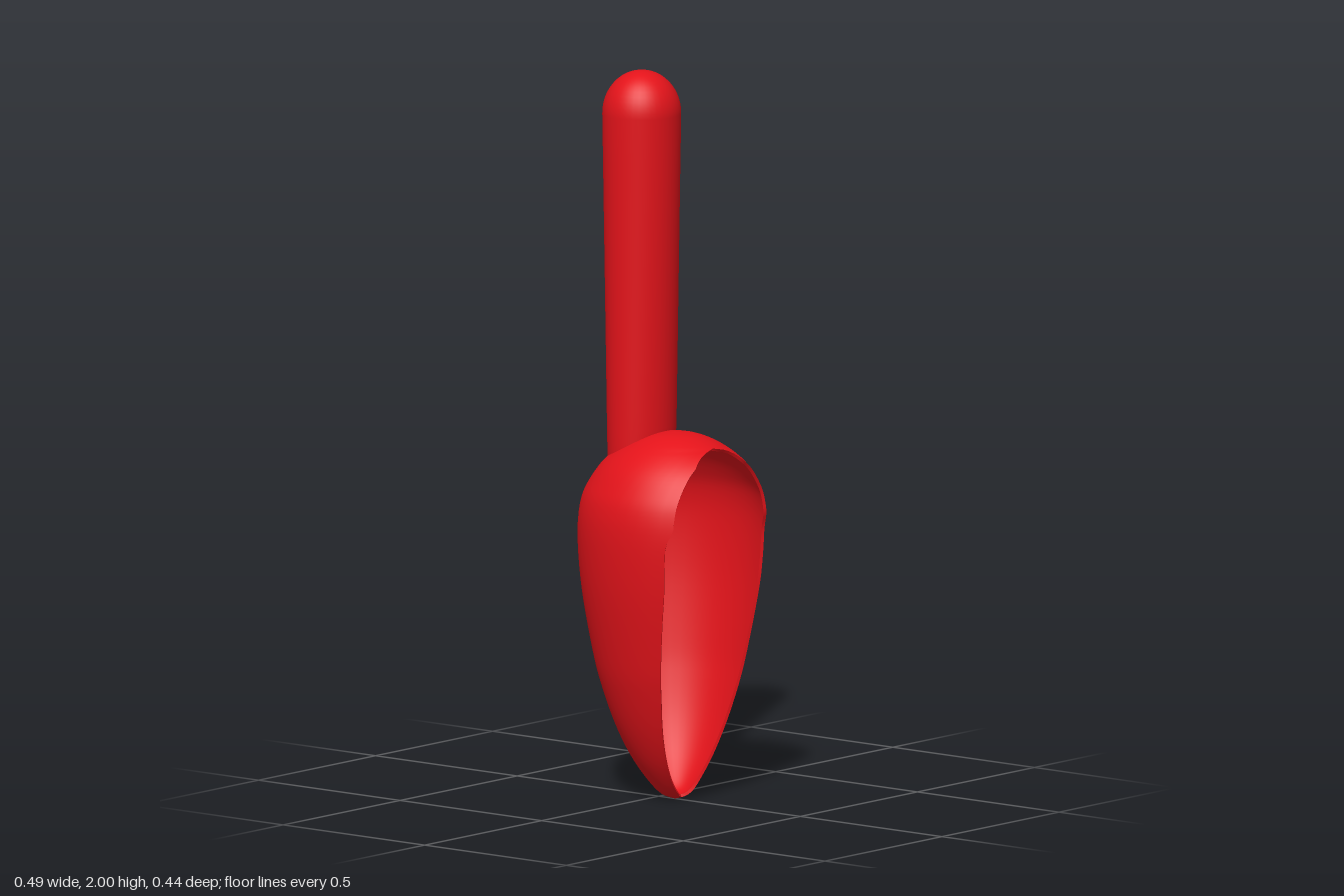
import * as THREE from 'three';
import { mergeVertices } from 'three/addons/utils/BufferGeometryUtils.js';

const RED = new THREE.MeshStandardMaterial({ color: 0xe3131a });
const AXIS_Z = 0.058, DEPTH = 1.14, WALL = 0.008, ROWS = 72, COLS = 32;

// Egg-shaped half profile of the scoop: radius, height
const profile = new THREE.SplineCurve([
  [0, 0], [0.035, 0.014], [0.068, 0.05], [0.11, 0.115], [0.149, 0.2], [0.182, 0.3], [0.206, 0.4],
  [0.235, 0.58], [0.245, 0.73], [0.237, 0.82], [0.213, 0.88], [0.175, 0.935],
  [0.12, 0.98], [0.06, 1.007], [0, 1.015],
].map(([r, y]) => new THREE.Vector2(r, y)));

// Front limit of the scoop at each height: height, z
const CUT = [[0, 0.08], [0.02, 0.094], [0.06, 0.1], [0.3, 0.145], [0.6, 0.19],
  [0.74, 0.198], [0.78, 0.216], [0.94, 0.214], [0.98, 0.195], [1.1, 0.19]];

function cutZ(y) {
  const i = CUT.findIndex((c) => y <= c[0] && c[0] > 0);
  const [y0, z0] = CUT[i - 1], [y1, z1] = CUT[i];
  return THREE.MathUtils.lerp(z0, z1, (y - y0) / (y1 - y0));
}

// Rows of points running round the back from one rim to the other
function shellRows(offset) {
  const rows = [];
  for (let i = 0; i <= ROWS; i++) {
    const p = profile.getPoint(i / ROWS), t = profile.getTangent(i / ROWS);
    const r = Math.max(0.0005, p.x - t.y * offset), y = p.y + t.x * offset;
    // Both skins share the opening angle, so their rims run side by side
    const k = (cutZ(p.y) - AXIS_Z) / (Math.max(0.0005, p.x) * DEPTH);
    const limit = Math.acos(-Math.min(1, k));
    const row = [];
    for (let j = 0; j <= COLS; j++) {
      const a = limit * (2 * j / COLS - 1);
      row.push([r * Math.sin(a), y, AXIS_Z - r * DEPTH * Math.cos(a)]);
    }
    rows.push(row);
  }
  return rows;
}

// Surface through rows of points; flip turns the faces over
function skin(rows, flip) {
  const n = rows[0].length, index = [];
  for (let i = 0; i < rows.length - 1; i++) {
    for (let j = 0; j < n - 1; j++) {
      const a = i * n + j, b = a + 1, c = a + n, d = c + 1;
      if (flip) index.push(a, b, c, b, d, c);
      else index.push(a, c, b, b, c, d);
    }
  }
  const g = new THREE.BufferGeometry();
  g.setAttribute('position', new THREE.Float32BufferAttribute(rows.flat(2), 3));
  g.setIndex(index);
  const merged = mergeVertices(g, 1e-5);
  merged.computeVertexNormals();
  return merged;
}

function buildScoop() {
  const scoop = new THREE.Group();
  scoop.name = 'scoop';
  const add = (name, geometry) => {
    const mesh = new THREE.Mesh(geometry, RED);
    mesh.name = name;
    scoop.add(mesh);
  };
  const outer = shellRows(0), inner = shellRows(WALL);
  add('scoopOutside', skin(outer, false));
  add('scoopInside', skin(inner, true));
  // Rim strips join the two skins along the opening
  add('rightRim', skin(outer.map((row, i) => [row[0], inner[i][0]]), true));
  add('leftRim', skin(outer.map((row, i) => [row[COLS], inner[i][COLS]]), false));
  return scoop;
}

function buildHandle() {
  // Straight grip with a rounded end
  const points = [];
  for (let i = 0; i <= 8; i++) {
    points.push(new THREE.Vector2(0.103 + 0.006 * i / 8, 0.9 + 0.98 * i / 8));
  }
  for (let i = 1; i <= 12; i++) {
    const a = i / 12 * Math.PI / 2;
    points.push(new THREE.Vector2(i === 12 ? 0 : 0.109 * Math.cos(a), 1.88 + 0.12 * Math.sin(a)));
  }
  let g = new THREE.LatheGeometry(points, 40);
  g.deleteAttribute('uv');
  g.deleteAttribute('normal');
  g = mergeVertices(g, 1e-5);
  // Flatten towards the foot and slope the foot to sit on the scoop
  const pos = g.attributes.position;
  for (let i = 0; i < pos.count; i++) {
    const y = pos.getY(i);
    const z = -0.06 + pos.getZ(i) * THREE.MathUtils.mapLinear(y, 0.9, 2, 0.83, 1);
    pos.setZ(i, z);
    if (y < 0.91) pos.setY(i, 0.92 + (z + 0.145) * 0.45);
  }
  g.computeVertexNormals();
  const handle = new THREE.Mesh(g, RED);
  handle.name = 'handle';
  return handle;
}

export function createModel() {
  const model = new THREE.Group();
  model.name = 'handScoop';
  model.add(buildScoop(), buildHandle());
  return model;
}
